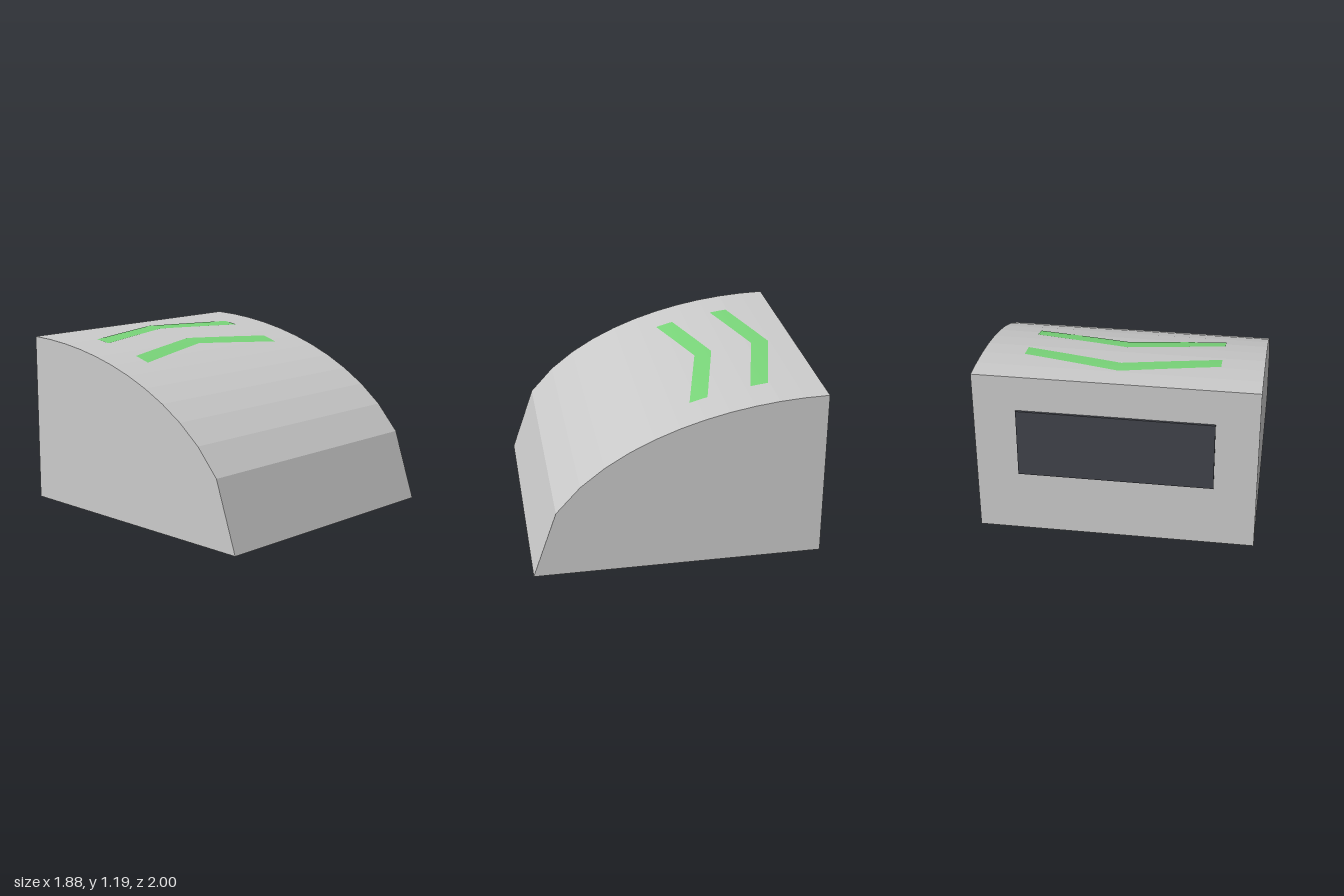
import * as THREE from 'three';

const HALF_WIDTH = 0.94, HEIGHT = 1.19, FRONT = 1, BACK = -0.985, STEPS = 12;

// Height of the quarter-ellipse top at depth z
function topHeight(z) {
  const u = (z - BACK) / (FRONT - BACK);
  return HEIGHT * Math.sqrt(Math.max(0, 1 - u * u));
}

// Chevron strip bent over the curved top
function chevron(name, centerZ, material) {
  const geo = new THREE.PlaneGeometry(1.31, 0.122, 32, 6).rotateX(-Math.PI / 2);
  const pos = geo.attributes.position;
  for (let i = 0; i < pos.count; i++) {
    const z = pos.getZ(i) + centerZ + Math.abs(pos.getX(i)) * 0.25;
    pos.setZ(i, z);
    pos.setY(i, topHeight(z) + 0.002);
  }
  geo.computeVertexNormals();
  const mesh = new THREE.Mesh(geo, material);
  mesh.name = name;
  return mesh;
}

export function createModel() {
  const model = new THREE.Group();
  model.name = 'curvedRamp';
  const grey = new THREE.MeshStandardMaterial({ color: 0xcccccc, flatShading: true });
  const green = new THREE.MeshStandardMaterial({ color: 0x7ad67a, side: THREE.DoubleSide });
  const dark = new THREE.MeshStandardMaterial({ color: 0x40434a });

  // Solid body: side profile extruded across the width
  const profile = new THREE.Shape();
  profile.moveTo(BACK, 0);
  for (let i = 0; i <= STEPS; i++) {
    const z = FRONT + (BACK - FRONT) * i / STEPS;
    profile.lineTo(z, topHeight(z));
  }
  profile.closePath();
  const bodyGeo = new THREE.ExtrudeGeometry(profile, { depth: 2 * HALF_WIDTH, bevelEnabled: false });
  bodyGeo.translate(0, 0, -HALF_WIDTH).rotateY(-Math.PI / 2);
  const body = new THREE.Mesh(bodyGeo, grey);
  body.name = 'rampBody';
  model.add(body);

  // Direction chevrons
  model.add(chevron('frontChevron', -0.333, green), chevron('rearChevron', -0.745, green));

  // Dark panel on the back wall
  const panel = new THREE.Mesh(new THREE.BoxGeometry(1.31, 0.49, 0.03), dark);
  panel.position.set(0, 0.695, BACK);
  panel.name = 'backPanel';
  model.add(panel);

  return model;
}
